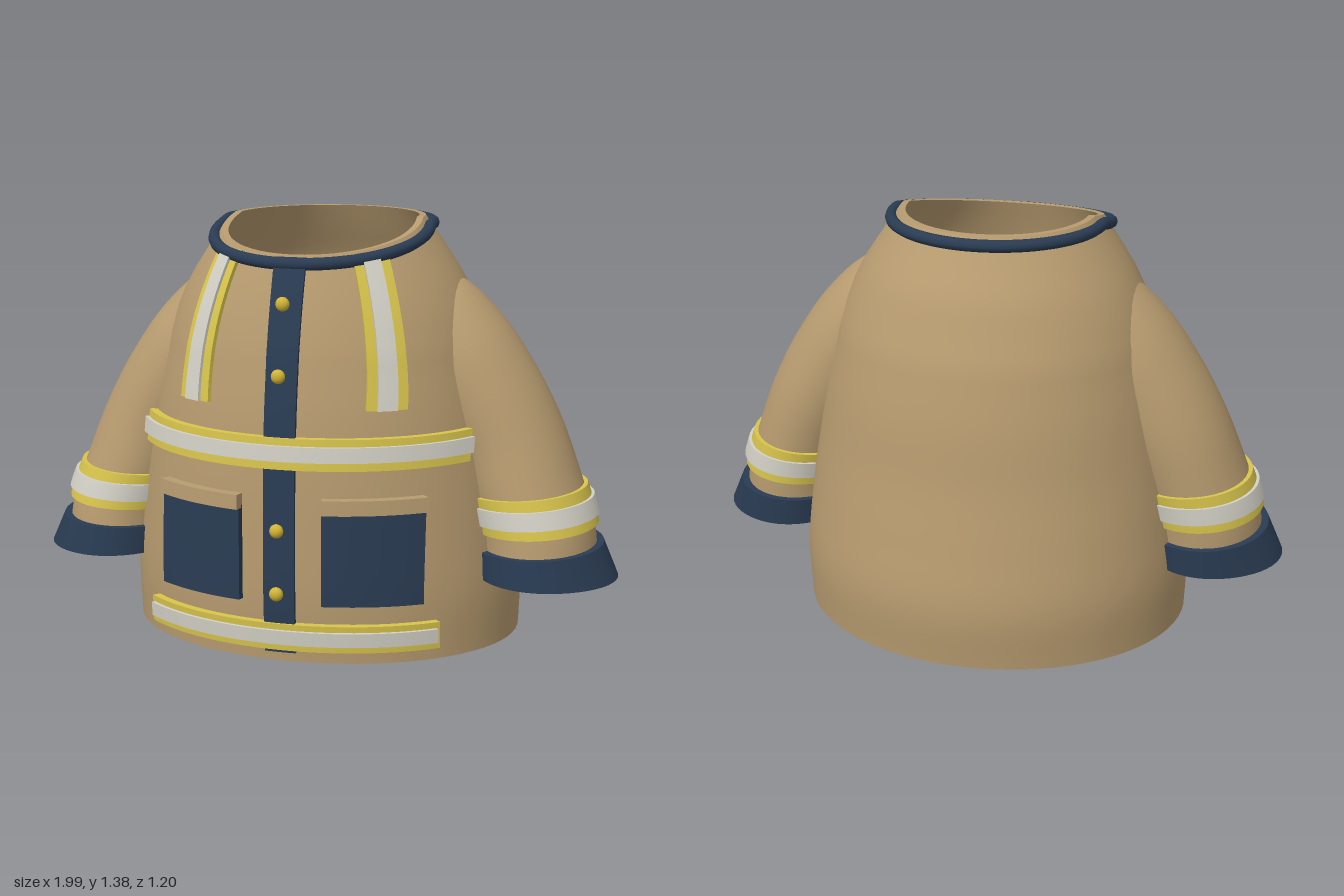
import * as THREE from 'three';
import { toCreasedNormals } from 'three/addons/utils/BufferGeometryUtils.js';

const mat = (name, color, side = THREE.FrontSide) => {
  const m = new THREE.MeshStandardMaterial({ color, side });
  m.name = name;
  return m;
};

// Surface from a point rule fn(u, v), with u and v in 0..1
function grid(fn, nu, nv, flip = false) {
  const pos = [], idx = [];
  for (let j = 0; j <= nv; j++)
    for (let i = 0; i <= nu; i++) pos.push(...fn(i / nu, j / nv, i, j));
  const w = nu + 1;
  for (let j = 0; j < nv; j++)
    for (let i = 0; i < nu; i++) {
      const a = j * w + i, b = a + 1, c = a + w, d = c + 1;
      if (flip) idx.push(a, d, b, a, c, d);
      else idx.push(a, b, d, a, d, c);
    }
  const g = new THREE.BufferGeometry();
  g.setAttribute('position', new THREE.Float32BufferAttribute(pos, 3));
  g.setIndex(idx);
  return toCreasedNormals(g, 0.8);
}

// Raised plate: fn(u, v, top) gives points, border vertices drop to the base
function plate(fn, nu, nv, flip) {
  const U = nu + 2, V = nv + 2;
  const cl = (i, n) => Math.min(Math.max(i - 1, 0), n) / n;
  return grid((_u, _v, i, j) =>
    fn(cl(i, nu), cl(j, nv), i > 0 && i < U && j > 0 && j < V), U, V, flip);
}

// Torso profile rows: height, half width, front depth, back depth
const CX = -0.02;
const ROWS = [
  [0, 0.66, 0.525, 0.58], [0.2, 0.665, 0.54, 0.6], [0.4, 0.645, 0.54, 0.575],
  [0.6, 0.615, 0.535, 0.545], [0.8, 0.58, 0.52, 0.525], [1, 0.535, 0.49, 0.49],
  [1.1, 0.5, 0.465, 0.455], [1.2, 0.45, 0.435, 0.42], [1.3, 0.385, 0.4, 0.365],
  [1.385, 0.325, 0.36, 0.32]];
const rowCurve = new THREE.CatmullRomCurve3(
  ROWS.map(r => new THREE.Vector3(r[1], r[2], r[3])), false, 'catmullrom');
function profile(y) {
  let k = 0;
  while (k < ROWS.length - 2 && y > ROWS[k + 1][0]) k++;
  const f = (y - ROWS[k][0]) / (ROWS[k + 1][0] - ROWS[k][0]);
  return rowCurve.getPoint(Math.min(1, Math.max(0, (k + f) / (ROWS.length - 1))));
}
const neckY = a => 1.385 - 0.09 * Math.max(0, Math.sin(a));
function torsoPoint(a, y, d) {
  const p = profile(y), s = Math.sin(a);
  return [CX + (p.x + d) * Math.cos(a), y, ((s > 0 ? p.y : p.z) + d) * s];
}
// Point on the torso front at a given x, lifted by d
function frontPoint(x, y, d) {
  const p = profile(y), q = (x - CX) / p.x;
  return [x + q * d, y, (p.y + d) * Math.sqrt(Math.max(0, 1 - q * q))];
}

// Sleeve rings from hem to inner end: outer x,y / inner x,y / z centre, z half
const RINGS = [
  [0.93, 0.22, 0.55, 0.23, 0.065, 0.235], [0.91, 0.4, 0.53, 0.38, 0.05, 0.232],
  [0.86, 0.55, 0.48, 0.52, 0.035, 0.228], [0.79, 0.73, 0.43, 0.62, 0.02, 0.225],
  [0.7, 0.9, 0.36, 0.72, 0.015, 0.225], [0.58, 1.07, 0.3, 0.78, 0.01, 0.225],
  [0.44, 1.19, 0.22, 0.82, 0, 0.215], [0.33, 1.18, 0.1, 0.88, -0.01, 0.18],
  [0.28, 1.1, 0.13, 1.03, -0.02, 0.09]];
const ringCurve = k => new THREE.CatmullRomCurve3(
  RINGS.map(r => new THREE.Vector3(r[k], r[k + 1], 0)), false, 'catmullrom');
const [outerC, innerC, depthC] = [0, 2, 4].map(ringCurve);
function sleevePoint(s, a, t, dx, dz = dx) {
  const o = outerC.getPoint(t), n = innerC.getPoint(t), z = depthC.getPoint(t);
  const c = o.clone().add(n).multiplyScalar(0.5), h = o.sub(n).multiplyScalar(0.5);
  h.setLength(h.length() + dx).multiplyScalar(Math.cos(a));
  return [s * (c.x + h.x) - 0.008, c.y + h.y, z.x + (z.y + dz) * Math.sin(a)];
}

export function createModel() {
  const group = new THREE.Group();
  group.name = 'coat';
  const tan = mat('tanCloth', 0xb89c70, THREE.DoubleSide);
  const navy = mat('navyTrim', 0x2a3c53);
  const yellow = mat('yellowTape', 0xd8c44c);
  const silver = mat('silverTape', 0xd3d1c6);
  const gold = mat('goldButton', 0xd2b436);
  const add = (name, geo, m, parent = group) => {
    const mesh = new THREE.Mesh(geo, m);
    mesh.name = name;
    parent.add(mesh);
    return mesh;
  };

  // Torso shell: up the outside, over the neck edge and down the lining
  const N = 36;
  add('torso', grid((u, _v, _i, j) => {
    const a = u * Math.PI * 2, inner = j > N;
    const f = inner ? (2 * N + 1 - j) / N : j / N;
    return torsoPoint(a, f * neckY(a), inner ? -0.022 : 0);
  }, 72, 2 * N + 1, true), tan);

  // Neck binding
  const loop = [];
  for (let i = 0; i < 48; i++) {
    const a = i / 48 * Math.PI * 2;
    loop.push(new THREE.Vector3(...torsoPoint(a, neckY(a) - 0.025, 0.008)));
  }
  add('neckBinding', new THREE.TubeGeometry(
    new THREE.CatmullRomCurve3(loop, true), 96, 0.02, 10, true), navy);

  // Plates that follow the torso front; edges x0, x1 may depend on v
  const front = (name, m, x0, x1, y0, y1, d, nu, nv, base = 0) => {
    const e = (f, v) => (typeof f === 'function' ? f(v) : f);
    add(name, plate((u, v, top) => frontPoint(
      THREE.MathUtils.lerp(e(x0, v), e(x1, v), u),
      THREE.MathUtils.lerp(y0, y1, v), top ? d : base), nu, nv), m);
  };
  front('frontPlacket', navy, -0.072, 0.028, 0.035, 1.29, 0.018, 4, 30);
  front('waistBand', yellow, -0.55, 0.51, 0.64, 0.74, 0.026, 32, 2);
  front('waistStripe', silver, -0.55, 0.51, 0.668, 0.717, 0.038, 32, 2);
  front('hemBand', yellow, -0.5, 0.45, 0.045, 0.135, 0.026, 32, 2);
  front('hemStripe', silver, -0.49, 0.44, 0.068, 0.115, 0.038, 32, 2);

  for (const s of [-1, 1]) {
    const side = s < 0 ? 'right' : 'left';
    const c = CX + s * 0.28;
    front(side + 'Pocket', navy, c - 0.148, c + 0.148, 0.2, 0.51, 0.022, 12, 6);
    front(side + 'PocketFlap', tan, c - 0.148, c + 0.148, 0.5, 0.548, 0.034, 12, 2);

    // Shoulder tapes, drifting outward as they go down
    const mid = v => CX + s * (0.225 + 0.088 * (1 - v * v));
    const edge = (w0, w1, k) => v => mid(v) + k * THREE.MathUtils.lerp(w0, w1, v);
    front(side + 'ShoulderTape', yellow, edge(0.057, 0.047, -1), edge(0.057, 0.047, 1),
      0.825, 1.3, 0.014, 4, 14);
    front(side + 'ShoulderStripe', silver, edge(0.027, 0.022, -1), edge(0.027, 0.022, 1),
      0.825, 1.3, 0.024, 4, 14);

    // Sleeve, running on into the shoulder opening
    const arm = new THREE.Group();
    arm.name = side + 'Sleeve';
    group.add(arm);
    const flip = s > 0;
    add('sleeveCloth', grid((u, v) => sleevePoint(s, u * Math.PI * 2, v, 0), 40, 40, flip), tan, arm);

    // Tapes round the sleeve and the flared cuff, open towards the body
    const wrap = (name, m, t0, t1, lift) => add(name, plate((u, v, top) => {
      const a = (u * 2 - 1) * 2.4;
      return sleevePoint(s, a, THREE.MathUtils.lerp(t0, t1, v), top ? lift : 0);
    }, 36, 3, flip), m, arm);
    wrap('sleeveBand', yellow, 0.127, 0.232, 0.014);
    wrap('sleeveStripe', silver, 0.153, 0.203, 0.024);

    add('cuff', grid((u, _v, _i, j) => {
      const a = (u * 2 - 1) * 2.4;
      const high = j === 1 || j === 2, out = j === 0 || j === 1 || j === 4;
      const dx = 0.024 + (high ? 0 : 0.042 * Math.max(0, Math.cos(a)));
      const drop = out ? 0 : 0.024;
      return sleevePoint(s, a, high ? 0.08 : 0.006, dx - drop, 0.026 - drop);
    }, 40, 4, flip), navy, arm);
    for (const k of [-1, 1]) {
      // Cuff end caps
      const a = k * 2.4;
      add('cuffEnd', grid((u, v) => sleevePoint(s, a, 0.006 + 0.074 * v,
        0.024 * u, 0.002 + 0.024 * u), 1, 1, (k > 0) === (s > 0)), navy, arm);
    }
  }

  // Buttons down the placket
  for (const [y, z] of [[1.155, 0.5], [0.935, 0.55], [0.445, 0.577], [0.24, 0.583]]) {
    const b = add('button', new THREE.SphereGeometry(0.023, 16, 12), gold);
    b.scale.z = 0.75;
    b.position.set(CX - 0.002, y, z);
  }
  return group;
}
